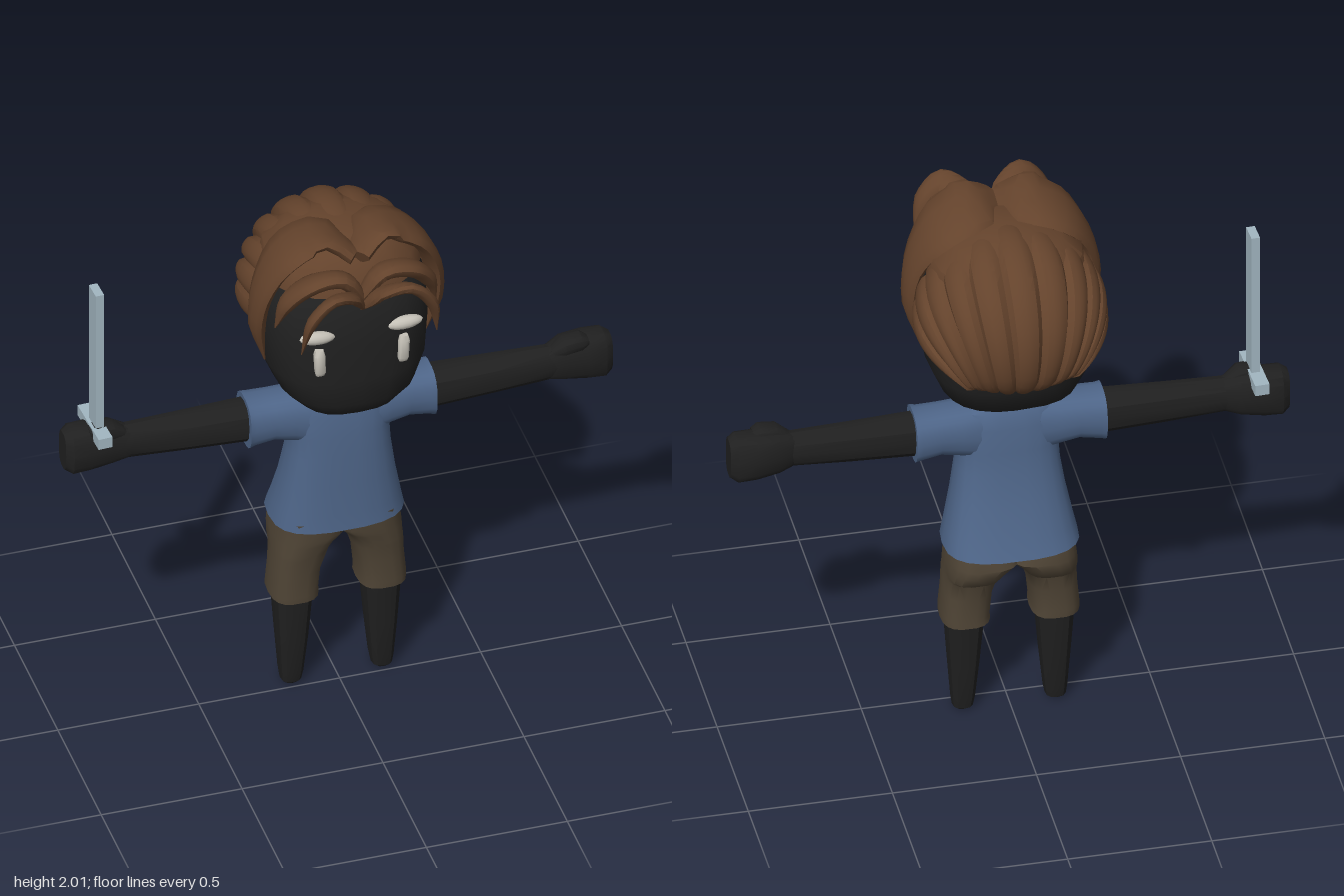
import * as THREE from 'three';
import { toCreasedNormals } from 'three/addons/utils/BufferGeometryUtils.js';

const V = (x, y, z) => new THREE.Vector3(x, y, z);

// Closed skin over a list of rings, with a fan at each end
function skin(rings) {
  const n = rings[0].length, pos = [], idx = [];
  rings.forEach((r) => r.forEach((p) => pos.push(p.x, p.y, p.z)));
  for (let k = 0; k < rings.length - 1; k++) {
    for (let i = 0; i < n; i++) {
      const a = k * n + i, b = k * n + (i + 1) % n;
      idx.push(a, a + n, b + n, a, b + n, b);
    }
  }
  [0, rings.length - 1].forEach((k) => {
    const c = rings[k].reduce((s, p) => s.add(p), V(0, 0, 0)).divideScalar(n);
    const ci = pos.length / 3;
    pos.push(c.x, c.y, c.z);
    for (let i = 0; i < n; i++) {
      const a = k * n + i, b = k * n + (i + 1) % n;
      idx.push(...(k === 0 ? [ci, a, b] : [ci, b, a]));
    }
  });
  return indexed(pos, idx);
}

function indexed(pos, idx) {
  const g = new THREE.BufferGeometry();
  g.setAttribute('position', new THREE.Float32BufferAttribute(pos, 3));
  g.setIndex(idx);
  return g;
}

// Superellipse rings: axis y uses [y, x0, x1, z0, z1], axis x uses [x, z0, z1, y0, y1]
function loft(axis, rows, power = 2.6, n = 18) {
  return skin(rows.map(([t, a0, a1, b0, b1]) => Array.from({ length: n }, (_, i) => {
    const th = (i / n) * Math.PI * 2;
    const f = (c) => Math.sign(c) * Math.pow(Math.abs(c), 2 / power);
    const a = (a0 + a1) / 2 + (a1 - a0) / 2 * f(Math.cos(th));
    const b = (b0 + b1) / 2 + (b1 - b0) / 2 * f(Math.sin(th));
    return axis === 'y' ? V(a, t, b) : V(t, b, a);
  })));
}

// Tapered lock of hair along a curve, wide in the given direction
function lock(points, widths, wide, thick) {
  const curve = new THREE.CatmullRomCurve3(points.map((p) => V(...p)));
  const steps = 16, n = 10, rings = [];
  for (let k = 0; k <= steps; k++) {
    const u = k / steps, c = curve.getPoint(u), T = curve.getTangent(u);
    const W = V(...wide).addScaledVector(T, -V(...wide).dot(T)).normalize();
    const N = W.clone().cross(T);
    const s = u * (widths.length - 1), j = Math.min(Math.floor(s), widths.length - 2);
    const w = THREE.MathUtils.lerp(widths[j], widths[j + 1], s - j);
    const h = Math.min(thick, w * 0.6);
    rings.push(Array.from({ length: n }, (_, i) => {
      const th = (i / n) * Math.PI * 2;
      return c.clone().addScaledVector(W, w * Math.cos(th)).addScaledVector(N, h * Math.sin(th));
    }));
  }
  return skin(rings);
}

// Swept-back hair: strands fan from the crown and gather at the nape
function backHair() {
  const strands = 11, per = 6, cols = strands * per, rows = 18, pos = [], idx = [];
  for (let r = 0; r <= rows; r++) {
    const v = r / rows;
    for (let c = 0; c <= cols; c++) {
      const phi = (c / cols * 2 - 1) * 1.7, s = Math.sin(phi), co = Math.cos(phi);
      const f = (c % per) / per;
      const d = V(s, co, 0.22).multiplyScalar((1 - v) ** 2)
        .add(V(0.95 * s, 0.75 * co - 0.2, -1.05).multiplyScalar(2 * v * (1 - v)))
        .add(V(0.55 * s, -0.64, -0.75).multiplyScalar(v * v)).normalize();
      const bump = Math.sqrt(Math.sin(Math.PI * f)) * (0.03 + 0.05 * Math.sin(Math.PI * v));
      const k = 0.95 + bump - 0.1 * Math.max(0, v - 0.85) / 0.15;
      pos.push(d.x * 0.335 * k, 1.63 + d.y * 0.335 * k, -0.06 + d.z * 0.325 * k);
    }
  }
  for (let r = 0; r < rows; r++) {
    for (let c = 0; c < cols; c++) {
      const a = r * (cols + 1) + c, b = a + cols + 1;
      idx.push(a, a + 1, b + 1, a, b + 1, b);
    }
  }
  return indexed(pos, idx);
}

function mirrored(geo) {
  const g = geo.clone().scale(-1, 1, 1), ix = g.index.array;
  for (let i = 0; i < ix.length; i += 3) [ix[i], ix[i + 1]] = [ix[i + 1], ix[i]];
  return g;
}

export function createModel() {
  const model = new THREE.Group();
  model.name = 'swordFighter';
  const mat = (name, color, side = THREE.FrontSide) => {
    const m = new THREE.MeshStandardMaterial({ color, side });
    m.name = name;
    return m;
  };
  const skinMat = mat('black skin', 0x202020);
  const hairMat = mat('brown hair', 0x64432c, THREE.DoubleSide);
  const shirtMat = mat('blue cloth', 0x4e6588);
  const shortsMat = mat('olive brown cloth', 0x504536);
  const eyeMat = mat('pale eye', 0xc4c0b6);
  const steelMat = mat('pale steel', 0xa2b6c1);

  const add = (name, geo, material, crease = 0.7) => {
    const mesh = new THREE.Mesh(toCreasedNormals(geo, crease), material);
    mesh.name = name;
    model.add(mesh);
  };
  const pair = (name, geo, material, crease) => {
    add('left' + name, geo, material, crease);
    add('right' + name, mirrored(geo), material, crease);
  };

  // Head and neck
  add('head', loft('y', [
    [1.265, -0.1, 0.1, -0.1, 0.17], [1.29, -0.18, 0.18, -0.17, 0.225],
    [1.35, -0.24, 0.24, -0.25, 0.26], [1.45, -0.282, 0.282, -0.29, 0.265],
    [1.6, -0.295, 0.295, -0.31, 0.265], [1.75, -0.28, 0.28, -0.3, 0.25],
    [1.85, -0.2, 0.2, -0.22, 0.18], [1.9, -0.1, 0.1, -0.12, 0.08]], 2.7, 24), skinMat);
  add('neck', loft('y', [[1.18, -0.1, 0.1, -0.09, 0.05], [1.3, -0.085, 0.085, -0.08, 0.05]], 3), skinMat);

  // Eyes with a tear mark below each
  const eye = new THREE.SphereGeometry(1, 14, 8).scale(0.064, 0.024, 0.024).rotateZ(0.06).translate(0.155, 1.655, 0.248);
  pair('Eye', eye, eyeMat);
  pair('Tear', loft('y', [[1.5, 0.132, 0.162, 0.24, 0.262], [1.515, 0.128, 0.166, 0.235, 0.27],
    [1.585, 0.13, 0.17, 0.235, 0.27], [1.605, 0.135, 0.165, 0.24, 0.262]], 3, 12), eyeMat);

  // Hair
  add('backHair', backHair(), hairMat, 0.5);
  add('crownHair', loft('y', [[1.79, -0.275, 0.275, -0.25, 0.235], [1.86, -0.26, 0.26, -0.24, 0.22],
    [1.92, -0.19, 0.19, -0.18, 0.17], [1.955, -0.09, 0.09, -0.1, 0.1]], 2.3), hairMat);
  pair('SideLock', lock([[0, 1.92, 0.18], [0.1, 1.97, 0.1], [0.22, 1.915, 0.08], [0.295, 1.79, 0.08],
    [0.315, 1.63, 0.07], [0.285, 1.46, 0.06]], [0.07, 0.13, 0.13, 0.085, 0.05, 0.004], [0, 0.15, 1], 0.03), hairMat);
  pair('InnerBang', lock([[0.0, 1.8, 0.25], [0.07, 1.885, 0.25], [0.17, 1.87, 0.23], [0.25, 1.79, 0.2],
    [0.285, 1.68, 0.18]], [0.03, 0.06, 0.07, 0.045, 0.004], [0, 0.4, 1], 0.03), hairMat);
  pair('FrontCurl', lock([[0.0, 1.77, 0.26], [0.06, 1.86, 0.33], [0.14, 1.89, 0.37], [0.21, 1.82, 0.37],
    [0.24, 1.67, 0.34]], [0.02, 0.04, 0.045, 0.035, 0.003], [0.2, 0.5, 1], 0.02), hairMat);

  // Shirt body and sleeves
  add('shirt', loft('y', [
    [0.7, -0.225, 0.225, -0.22, 0.09], [0.7, -0.235, 0.235, -0.23, 0.1], [0.76, -0.222, 0.222, -0.205, 0.095],
    [0.88, -0.198, 0.198, -0.165, 0.09], [1.0, -0.18, 0.18, -0.135, 0.085], [1.08, -0.175, 0.175, -0.125, 0.08],
    [1.17, -0.19, 0.19, -0.115, 0.07], [1.23, -0.17, 0.17, -0.1, 0.055], [1.252, -0.1, 0.1, -0.085, 0.045]], 2.8, 22), shirtMat);
  pair('Sleeve', loft('x', [
    [0.1, -0.11, 0.06, 1.03, 1.245], [0.17, -0.115, 0.06, 1.055, 1.243], [0.24, -0.115, 0.055, 1.07, 1.24],
    [0.31, -0.12, 0.055, 1.058, 1.24], [0.33, -0.12, 0.058, 1.052, 1.243], [0.33, -0.1, 0.035, 1.07, 1.225]], 2.6), shirtMat);

  // Arms, fists and thumbs
  pair('Arm', loft('x', [[0.28, -0.1, 0.035, 1.07, 1.228], [0.55, -0.09, 0.022, 1.08, 1.22],
    [0.78, -0.08, 0.012, 1.092, 1.215]], 2.4, 12), skinMat, 0.5);
  pair('Fist', loft('x', [[0.74, -0.075, 0.01, 1.095, 1.21], [0.8, -0.1, 0.015, 1.08, 1.235],
    [0.88, -0.11, 0.02, 1.068, 1.24], [0.945, -0.105, 0.018, 1.062, 1.24],
    [0.97, -0.085, 0.0, 1.08, 1.225]], 3, 14), skinMat, 0.6);
  pair('Thumb', loft('x', [[0.755, -0.05, 0.0, 1.18, 1.215], [0.8, -0.065, 0.018, 1.19, 1.25],
    [0.86, -0.065, 0.018, 1.2, 1.255], [0.885, -0.05, 0.005, 1.21, 1.24]], 2.6, 10), skinMat);

  // Shorts
  pair('ShortsLeg', loft('y', [
    [0.385, 0.085, 0.225, -0.135, 0.035], [0.385, 0.07, 0.24, -0.15, 0.05], [0.41, 0.072, 0.24, -0.15, 0.052],
    [0.5, 0.063, 0.232, -0.148, 0.05], [0.57, 0.042, 0.228, -0.165, 0.065], [0.59, 0.034, 0.227, -0.195, 0.068],
    [0.63, 0.005, 0.225, -0.215, 0.075], [0.66, -0.03, 0.222, -0.222, 0.08], [0.73, -0.03, 0.215, -0.2, 0.085]], 2.8), shortsMat);

  // Legs
  pair('Leg', loft('y', [[0, 0.14, 0.185, -0.075, -0.02], [0.012, 0.125, 0.197, -0.09, -0.008],
    [0.05, 0.118, 0.202, -0.098, 0], [0.2, 0.103, 0.213, -0.115, 0.018],
    [0.42, 0.085, 0.228, -0.135, 0.035]], 2.6, 12), skinMat, 0.5);

  // Sword held in the right hand
  const box = (w, h, d, x, y, z, yaw) => new THREE.BoxGeometry(w, h, d).rotateY(yaw).translate(x, y, z);
  add('swordGuard', box(0.05, 0.042, 0.21, -0.855, 1.228, -0.042, 0.05), steelMat, 0.3);
  add('swordBlade', box(0.03, 0.57, 0.07, -0.852, 1.525, -0.035, 0.05), steelMat, 0.3);
  add('swordGrip', box(0.03, 0.12, 0.04, -0.855, 1.15, -0.042, 0.05), steelMat, 0.3);

  return model;
}
